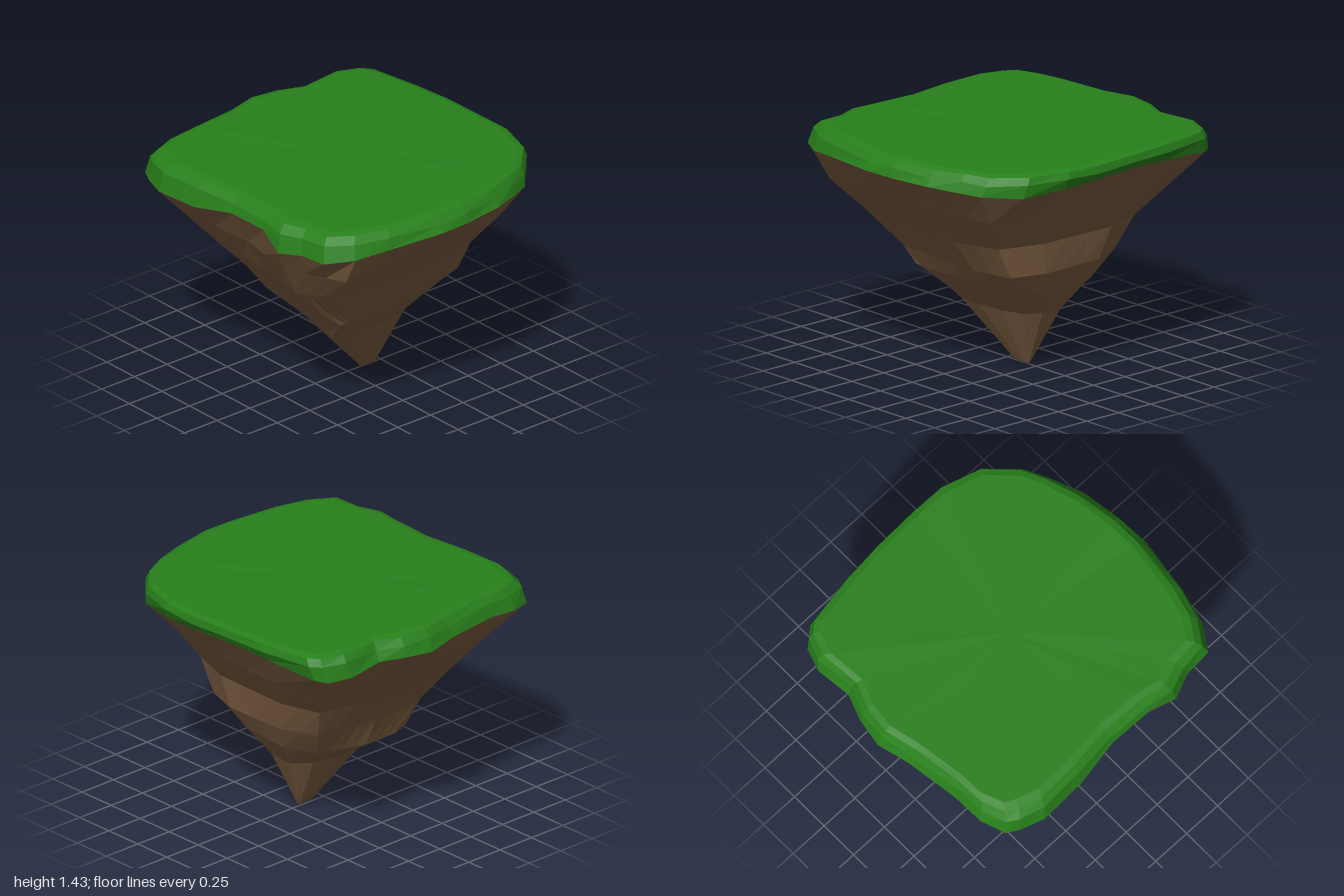
import * as THREE from 'three';

// Rim of the island, counter-clockwise from the front: x, y, z
const RIM = [
  [-0.6, 1.25, 0.94], [-0.3, 1.26, 0.93], [0, 1.32, 0.89], [0.3, 1.33, 0.9], [0.47, 1.25, 0.93],
  [0.62, 1.27, 0.87], [0.8, 1.28, 0.86], [0.9, 1.29, 0.7], [0.95, 1.31, 0.48], [1, 1.32, 0.12],
  [0.99, 1.32, -0.08], [0.95, 1.32, -0.35], [0.88, 1.31, -0.55], [0.81, 1.3, -0.7], [0.63, 1.29, -0.87],
  [0.37, 1.31, -0.94], [0.13, 1.32, -0.95], [-0.2, 1.33, -0.94], [-0.47, 1.31, -0.91], [-0.81, 1.28, -0.86],
  [-0.88, 1.27, -0.81], [-0.93, 1.28, -0.66], [-0.91, 1.3, -0.4], [-0.97, 1.3, -0.24], [-1, 1.29, -0.06],
  [-0.95, 1.3, 0.15], [-0.9, 1.3, 0.5], [-0.89, 1.28, 0.7], [-0.83, 1.26, 0.85], [-0.75, 1.25, 0.89],
].map((p) => new THREE.Vector3(...p));

// Rim points from which the twelve main rock edges run down
const EDGES = [0, 2, 4, 7, 9, 11, 13, 15, 18, 20, 24, 27];

// Rock sections: height, sideways tilt, and x, z for each main edge
const SECTIONS = [
  { y: 0.36, tilt: 0.03, xz: [-0.16, 0.18, 0, 0.23, 0.16, 0.25, 0.21, 0.17, 0.22, 0, 0.2, -0.17,
    0.15, -0.31, 0.05, -0.36, -0.09, -0.36, -0.18, -0.25, -0.21, -0.08, -0.21, 0.07] },
  { y: 0.53, tilt: 0.09, xz: [-0.38, 0.3, 0, 0.36, 0.38, 0.38, 0.39, 0.27, 0.39, 0.05, 0.38, -0.22,
    0.31, -0.42, 0.15, -0.48, -0.15, -0.47, -0.33, -0.36, -0.42, -0.05, -0.42, 0.18] },
  { y: 0.68, tilt: 0, xz: [-0.4, 0.44, 0, 0.47, 0.38, 0.52, 0.45, 0.4, 0.46, 0.06, 0.47, -0.22,
    0.42, -0.49, 0.2, -0.56, -0.22, -0.55, -0.44, -0.45, -0.5, -0.05, -0.48, 0.3] },
  { y: 0.88, tilt: 0, xz: [-0.46, 0.62, 0, 0.64, 0.37, 0.71, 0.57, 0.6, 0.6, 0.1, 0.61, -0.2,
    0.52, -0.5, 0.25, -0.59, -0.28, -0.6, -0.53, -0.52, -0.64, -0.05, -0.59, 0.47] },
  { y: 1.1, tilt: 0, xz: [-0.54, 0.81, 0, 0.77, 0.42, 0.84, 0.79, 0.68, 0.81, 0.11, 0.78, -0.28,
    0.68, -0.61, 0.31, -0.76, -0.38, -0.75, -0.72, -0.67, -0.83, -0.05, -0.76, 0.59] },
];

// Repeatable value in -1..1
const noise = (n) => {
  const s = Math.sin(n * 127.1 + 11.3) * 43758.5453;
  return (s - Math.floor(s)) * 2 - 1;
};

// One ring of rock, with the rim points between main edges spread evenly
function rockSection({ y, tilt, xz }) {
  const n = EDGES.length;
  const corner = (e) => new THREE.Vector3(xz[2 * e], y + tilt * xz[2 * e], xz[2 * e + 1]);
  return EDGES.flatMap((start, e) => {
    const next = (e + 1) % n;
    const count = (EDGES[next] || RIM.length) - start;
    return Array.from({ length: count }, (_, i) => corner(e).lerp(corner(next), i / count));
  });
}

// Skin a stack of rings from bottom to top, with optional end points
function loft(rings, bottom, top) {
  const pos = [];
  const tri = (...corners) => corners.forEach((p) => pos.push(p.x, p.y, p.z));
  const n = RIM.length;
  for (let k = 0; k < n; k++) {
    const j = (k + 1) % n;
    for (let r = 0; r + 1 < rings.length; r++) {
      const lo = rings[r], hi = rings[r + 1];
      tri(lo[k], lo[j], hi[j]);
      tri(lo[k], hi[j], hi[k]);
    }
    if (bottom) tri(bottom, rings[0][j], rings[0][k]);
    if (top) tri(top, rings.at(-1)[k], rings.at(-1)[j]);
  }
  const g = new THREE.BufferGeometry();
  g.setAttribute('position', new THREE.Float32BufferAttribute(pos, 3));
  g.computeVertexNormals();
  return g;
}

function part(name, geometry, color) {
  const mesh = new THREE.Mesh(geometry,
    new THREE.MeshStandardMaterial({ color, flatShading: true, side: THREE.DoubleSide }));
  mesh.name = name;
  return mesh;
}

export function createModel() {
  const group = new THREE.Group();
  group.name = 'floatingIsland';

  // Seam between rock and grass, tucked in a little at the back
  const seam = RIM.map((p) => new THREE.Vector3(p.x, p.y, p.z < -0.5 ? p.z * 0.96 : p.z));

  // Rock cone: steep upper faces, a ledge, then a spike ending in a short ridge
  const rings = SECTIONS.map(rockSection);
  const ridge = rings[0].map((p) => new THREE.Vector3(
    0.01 + p.x * 0.08, 0.015, THREE.MathUtils.mapLinear(p.z, -0.36, 0.25, -0.2, -0.08)));
  group.add(part('rock', loft([ridge, ...rings, seam], new THREE.Vector3(0.01, 0, -0.19)), 0x7a5c40));

  // Grass cap with a bevelled lip and a slightly uneven flat top
  const ring = (side, front, back, y, bump) => RIM.map((p, k) => new THREE.Vector3(
    p.x * (side + bump * noise(k)),
    y + bump * noise(k + 50),
    p.z * ((p.z > 0 ? front : back) + bump * noise(k + 90))));
  const grass = [
    seam,
    ring(0.975, 0.98, 0.99, 1.37, 0.01),
    ring(0.94, 0.93, 0.98, 1.415, 0.005),
    ring(0.9, 0.88, 0.94, 1.428, 0.003),
    ring(0.5, 0.5, 0.5, 1.428, 0.003),
  ];
  group.add(part('grass', loft(grass, null, new THREE.Vector3(0, 1.43, 0)), 0x28801b));

  return group;
}
